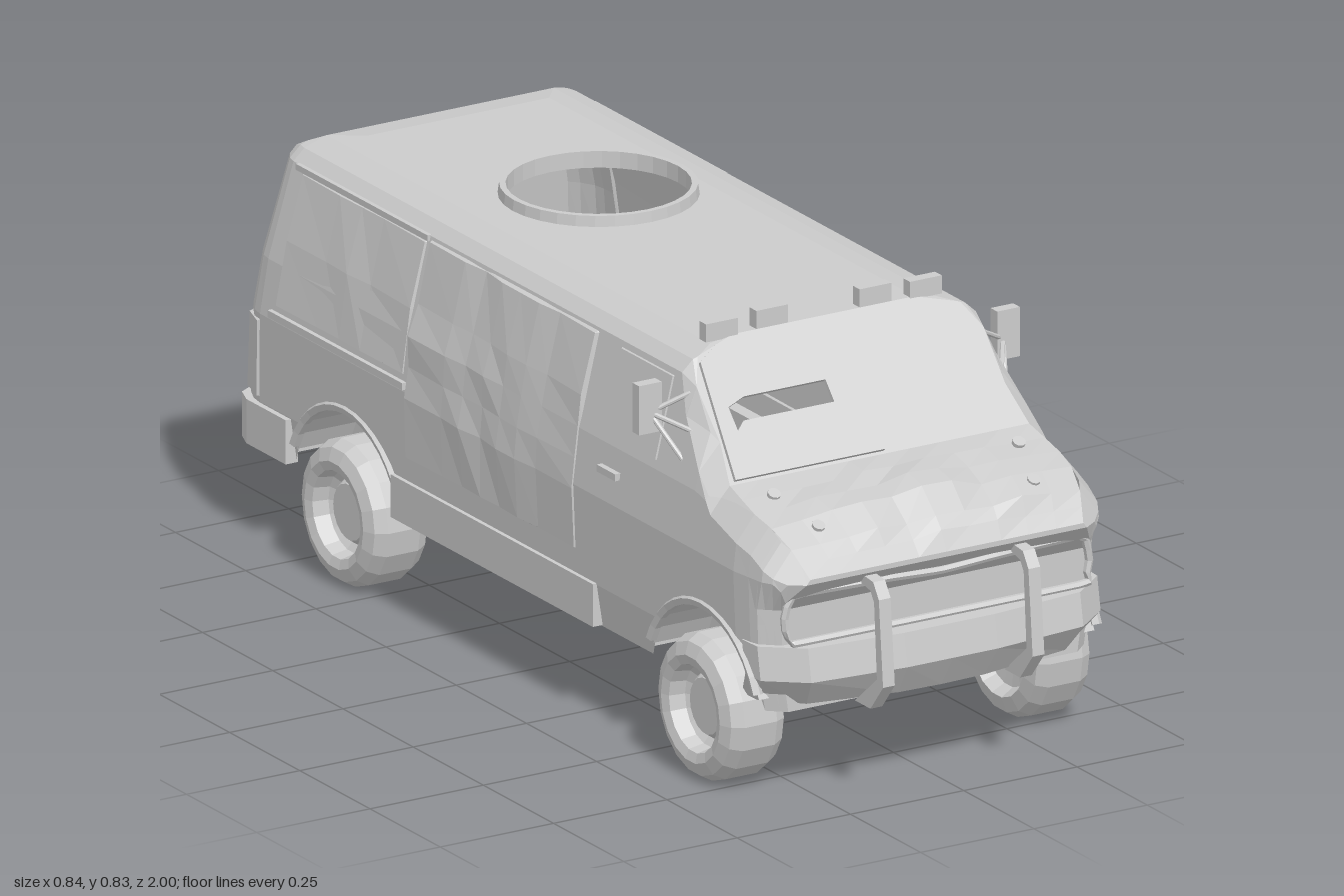
import * as THREE from 'three';

const mat = new THREE.MeshStandardMaterial({ color: 0xcccccc, flatShading: true, side: THREE.DoubleSide });
const SIDES = [1, -1];
const WHEEL_Z = [0.68, -0.59];
const WHEEL_R = 0.143, ARCH_R = 0.2;
const { clamp, mapLinear } = THREE.MathUtils;

// Piecewise-linear lookup in a list of [key, value]
function lerpTable(t, v) {
  if (v <= t[0][0]) return t[0][1];
  for (let i = 1; i < t.length; i++) {
    if (v <= t[i][0]) return mapLinear(v, t[i - 1][0], t[i][0], t[i - 1][1], t[i][1]);
  }
  return t[t.length - 1][1];
}
const noise = (i, j) => { const s = Math.sin(i * 12.99 + j * 78.23) * 43758.5; return s - Math.floor(s) - 0.5; };
const vec2 = pts => pts.map(p => new THREE.Vector2(...p));

// Body rules: half width by height, end taper, roof line, lower edge, sloped ends
const halfWidth = y => lerpTable([[0.17, 0.36], [0.27, 0.376], [0.45, 0.383], [0.56, 0.37], [0.75, 0.324], [0.772, 0.3], [0.788, 0.25], [0.797, 0.2]], y);
const taper = z => lerpTable([[-0.985, 0.9], [-0.95, 0.98], [-0.9, 1], [0.8, 1], [0.88, 0.97], [0.94, 0.88]], z);
const top = z => lerpTable([[-0.985, 0.735], [-0.965, 0.765], [-0.9, 0.788], [-0.8, 0.797], [0.5, 0.797], [0.7, 0.58], [0.85, 0.54], [0.9, 0.51], [0.94, 0.46]], z);
const bottom = z => WHEEL_Z.reduce((b, c) => Math.max(b, WHEEL_R + Math.sqrt(Math.max(0, ARCH_R ** 2 - (z - c) ** 2))), 0.185);
const slope = (z, y) => z + 0.065 * clamp((y - 0.3) / 0.45, 0, 1) * clamp((-z - 0.8) / 0.18, 0, 1)
  - 0.05 * clamp((0.45 - y) / 0.06, 0, 1) * clamp((z - 0.84) / 0.1, 0, 1);
// Rounding of the windshield pillars and fenders
const shoulder = (z, y) => 0.035 * clamp((z - 0.52) / 0.12, 0, 1) * clamp(1 - (top(z) - y) / 0.05, 0, 1);
const sidePoint = (z, y) => [halfWidth(y) * taper(z) - shoulder(z, y), y, slope(z, y)];

// Surface through rows of points
function gridGeometry(rows) {
  const n = rows[0].length, idx = [];
  for (let i = 0; i < rows.length - 1; i++) for (let j = 0; j < n - 1; j++) {
    const a = i * n + j, b = a + n;
    idx.push(a, b, a + 1, b, b + 1, a + 1);
  }
  const g = new THREE.BufferGeometry();
  g.setAttribute('position', new THREE.Float32BufferAttribute(rows.flat(2), 3));
  g.setIndex(idx);
  g.computeVertexNormals();
  return g;
}

export function createModel() {
  const van = new THREE.Group();
  const add = (name, geo, x = 0, y = 0, z = 0) => {
    const m = new THREE.Mesh(geo, mat);
    m.name = name;
    m.position.set(x, y, z);
    van.add(m);
    return m;
  };
  const box = (name, w, h, d, x, y, z) => add(name, new THREE.BoxGeometry(w, h, d), x, y, z);
  const tube = (name, pts, r, closed = false) => add(name, new THREE.TubeGeometry(
    new THREE.CatmullRomCurve3(pts.map(p => new THREE.Vector3(...p)), closed, 'catmullrom', 0.2), pts.length * 5, r, 6, closed));
  const rod = (name, a, b, r) => {
    const p = new THREE.Vector3(...a), q = new THREE.Vector3(...b);
    const m = add(name, new THREE.CylinderGeometry(r, r, p.distanceTo(q), 8));
    m.position.copy(p).lerp(q, 0.5);
    m.quaternion.setFromUnitVectors(new THREE.Vector3(0, 1, 0), q.sub(p).normalize());
  };
  // Plan outline, given for one half and mirrored
  const planShape = half => new THREE.Shape(vec2([...half, ...half.slice().reverse().map(([x, z]) => [-x, z])].map(([x, z]) => [x, -z])));
  const planExtrude = (half, y0, y1, steps = 1) =>
    new THREE.ExtrudeGeometry(planShape(half), { depth: y1 - y0, steps, bevelEnabled: false }).rotateX(-Math.PI / 2).translate(0, y0, 0);

  // Body sides and ends
  const stations = [-0.985, -0.965, -0.93, -0.9, -0.8, -0.2, 0, 0.25, 0.5, 0.52, 0.56, 0.64, 0.7, 0.9, 0.92, 0.94];
  for (const c of WHEEL_Z) for (let k = 0; k <= 10; k++) stations.push(c + ARCH_R * Math.cos(k * Math.PI / 10));
  stations.sort((a, b) => a - b);
  const levels = [0, 0.27, 0.36, 0.39, 0.45, 0.56, 0.66, 0.75, 0.772, 0.788, 1];
  const ring = z => [...levels, top(z) - 0.05].map(l => clamp(l, bottom(z), top(z))).sort((a, b) => a - b).map(y => sidePoint(z, y));
  const flip = (p, s) => [p[0] * s, p[1], p[2]];
  for (const s of SIDES) add('bodySide', gridGeometry(stations.map(z => ring(z).map(p => flip(p, s)))));
  for (const z of [-0.985, 0.94]) add(z < 0 ? 'rearDoors' : 'frontPanel', gridGeometry(ring(z).map(p => [p, flip(p, -1)])));

  // Roof and windshield: plan outlines lifted to the roof line
  const topPanel = (name, z0, z1, hole) => {
    const shape = planShape(stations.filter(z => z >= z0 && z <= z1).map(z => [sidePoint(z, top(z))[0], z]));
    shape.holes.push(hole);
    const g = new THREE.ShapeGeometry(shape, 16).rotateX(-Math.PI / 2);
    const p = g.attributes.position;
    for (let i = 0; i < p.count; i++) p.setY(i, top(p.getZ(i)));
    add(name, g);
  };
  topPanel('roof', -0.8, 0.5, new THREE.Path().absarc(0, 0.3, 0.178, 0, Math.PI * 2, true));
  topPanel('windshield', 0.5, 0.7, new THREE.Path(vec2([[-0.28, -0.58], [-0.045, -0.58], [-0.045, -0.64], [-0.28, -0.64]])));

  // Rear roof edge and dented hood
  const strip = (name, zs, n, crown, dent) => add(name, gridGeometry(zs.map((z, i) => {
    const [w, y, zz] = sidePoint(z, top(z));
    const k = Math.sin(Math.PI * i / (zs.length - 1));
    return Array.from({ length: n + 1 }, (_, j) => {
      const u = j / n * 2 - 1;
      return [w * u, y + (1 - u * u) * k * (crown + dent * noise(i, j)), zz];
    });
  })));
  strip('rearRoofEdge', stations.filter(z => z <= -0.8), 2, 0, 0);
  strip('hood', [0.7, 0.75, 0.8, 0.85, 0.9, 0.92, 0.94], 10, 0.014, 0.024);

  // Armour plate with viewing slit, lying on the windshield
  const plate = new THREE.Shape(vec2([[-0.32, 0.005], [0.01, 0.005], [0.01, 0.278], [-0.25, 0.278], [-0.295, 0.25]]));
  plate.holes.push(new THREE.Path(vec2([[-0.275, 0.1], [-0.255, 0.118], [-0.055, 0.118], [-0.055, 0.165], [-0.235, 0.165], [-0.275, 0.15]])));
  add('windshieldPlate', new THREE.ExtrudeGeometry(plate, { depth: 0.008, bevelEnabled: false }), 0, 0.582, 0.702)
    .rotation.x = -Math.atan2(0.2, 0.217);
  for (const [x, y, z] of [[0.27, 0.572, 0.76], [-0.27, 0.57, 0.76], [0.235, 0.537, 0.87], [-0.24, 0.535, 0.87]])
    add('hoodPin', new THREE.CylinderGeometry(0.013, 0.013, 0.008, 10), x, y, z).rotation.x = 0.5;

  // Roof hatch rim
  add('hatchRim', new THREE.LatheGeometry(vec2([[0.175, 0.785], [0.175, 0.818], [0.187, 0.818], [0.19, 0.795]]), 32), 0, 0, -0.3);

  // Recessed floor and wheel wells
  const floorHalf = [[0.33, -0.96], [0.36, -0.79], [0.25, -0.79], [0.25, -0.39], [0.36, -0.39], [0.36, 0.48], [0.25, 0.48], [0.25, 0.87], [0.3, 0.88]];
  add('floor', planExtrude(floorHalf, 0.2, 0.21));
  box('floorPan', 0.36, 0.035, 0.5, 0, 0.182, -0.16).rotation.x = -0.07;

  for (const s of SIDES) {
    for (const z of WHEEL_Z) {
      // Wheel well, arch flare and wheel
      add('wheelWell', new THREE.CylinderGeometry(ARCH_R, ARCH_R, 0.12, 12, 1, true, 0.35, Math.PI - 0.7).rotateZ(Math.PI / 2), s * 0.31, WHEEL_R, z);
      add('wellWall', new THREE.CircleGeometry(ARCH_R, 14, 0.35, Math.PI - 0.7).rotateY(Math.PI / 2), s * 0.25, WHEEL_R, z);
      add('archFlare', new THREE.TorusGeometry(ARCH_R + 0.005, 0.011, 5, 14, Math.PI - 0.8).rotateZ(0.4).rotateY(Math.PI / 2), s * 0.374, WHEEL_R, z);
      const profile = [[0, 0.035], [0.055, 0.035], [0.066, 0.02], [0.08, 0.03], [0.086, 0.062], [0.105, 0.068], [0.13, 0.058], [WHEEL_R, 0.035],
        [WHEEL_R, -0.035], [0.13, -0.058], [0.1, -0.066], [0.085, -0.04], [0, -0.03]];
      add('wheel', new THREE.LatheGeometry(vec2(profile), 18).rotateZ(-s * Math.PI / 2), s * 0.337, WHEEL_R, z);
    }

    // Dented side panels, their borders sunk into the body
    const sidePanel = (name, z0, z1, y0, y1, nz, ny, lift, dent) => add(name, gridGeometry(Array.from({ length: nz + 1 }, (_, i) =>
      Array.from({ length: ny + 1 }, (_, j) => {
        const edge = i === 0 || j === 0 || i === nz || j === ny;
        const inset = (k, n) => k === 1 ? 0.06 : k === n - 1 ? n - 0.06 : k;
        const [x, y, z] = sidePoint(z0 + (z1 - z0) * inset(i, nz) / nz, y0 + (y1 - y0) * inset(j, ny) / ny);
        return [s * (x + (edge ? -0.004 : lift + dent * noise(i + s * 3, j))), y, z];
      }))));
    sidePanel('slidingDoor', -0.37, 0.23, 0.32, 0.745, 9, 7, 0.006, 0.01);
    sidePanel('rearSidePanel', -0.84, -0.38, 0.48, 0.74, 6, 4, 0.004, 0.007);
    sidePanel('doorWindow', 0.31, 0.5, 0.575, 0.74, 3, 3, 0.003, 0);
    sidePanel('tailLight', -0.962, -0.9, 0.28, 0.44, 3, 3, 0.006, 0);

    // Trim and sill
    box('lowerRail', 0.012, 0.014, 0.48, s * 0.384, 0.463, -0.61);
    box('upperRail', 0.012, 0.012, 0.47, s * 0.325, 0.746, -0.61);
    box('sill', 0.035, 0.085, 0.72, s * 0.367, 0.23, -0.06);
    box('doorHandle', 0.014, 0.014, 0.065, s * 0.38, 0.51, 0.35);

    // Mirror on three struts
    box('mirror', 0.05, 0.098, 0.024, s * 0.395, 0.692, 0.51);
    for (const [x, y, z] of [[0.33, 0.65, 0.6], [0.32, 0.72, 0.55], [0.345, 0.57, 0.6]])
      rod('mirrorStrut', [s * 0.39, 0.68, 0.51], [s * x, y, z], 0.005);

    // Roof lights
    for (const [x, y] of [[0.225, 0.81], [0.114, 0.816]]) {
      box('roofLight', 0.07, 0.036, 0.024, s * x, y, 0.49);
      box('roofLightFoot', 0.02, 0.03, 0.014, s * x, y - 0.02, 0.475);
    }

    // Upright of the bull bar
    const bar = new THREE.Shape(vec2([[0.9, 0.185], [0.955, 0.185], [1, 0.24], [0.985, 0.41], [0.965, 0.44], [0.915, 0.445], [0.915, 0.428], [0.955, 0.42], [0.968, 0.4], [0.978, 0.25]]));
    add('bullBar', new THREE.ExtrudeGeometry(bar, { depth: 0.026, bevelEnabled: false }).rotateY(-Math.PI / 2), s * 0.165 + 0.013, 0, 0);

    // Suspension
    for (const z of [0.6, 0.76]) rod('controlArm', [s * 0.28, 0.125, 0.68], [s * 0.1, 0.185, z], 0.016);
    rod('wheelHub', [s * 0.25, WHEEL_R, 0.68], [s * 0.31, WHEEL_R, 0.68], 0.03);
    box('springMount', 0.035, 0.1, 0.06, s * 0.19, 0.15, 0.62);
    tube('leafSpring', [[s * 0.22, 0.19, -0.33], [s * 0.22, 0.14, -0.46], [s * 0.22, 0.12, -0.59], [s * 0.22, 0.14, -0.72], [s * 0.22, 0.19, -0.86]], 0.013);
  }

  // Bumpers: the front one is creased at mid height and tucked in below
  const frontBumper = planExtrude([[0, 0.95], [0.1, 0.95], [0.3, 0.93], [0.375, 0.87], [0.378, 0.82], [0.35, 0.82], [0.3, 0.87], [0, 0.87]], 0.19, 0.32, 2);
  const fp = frontBumper.attributes.position;
  for (let i = 0; i < fp.count; i++) {
    const x = fp.getX(i), y = fp.getY(i);
    if (y < 0.2) fp.setXYZ(i, x * 0.95, y + 0.05 * Math.abs(x) ** 1.5, fp.getZ(i) - 0.03);
    else if (y < 0.3) fp.setZ(i, fp.getZ(i) + 0.012);
  }
  add('frontBumper', frontBumper);
  add('rearBumper', planExtrude([[0, -1], [0.32, -1], [0.372, -0.97], [0.387, -0.93], [0.387, -0.79], [0.36, -0.79], [0.355, -0.93], [0, -0.95]], 0.18, 0.268));

  // Grille frame wrapping the front corners
  const half = [[0.31, 0.325], [0.328, 0.335], [0.337, 0.37], [0.328, 0.41], [0.31, 0.424], [0.12, 0.424]];
  const frame = [...half, [0, 0.418], ...half.slice().reverse().map(([x, y]) => [-x, y])];
  tube('grilleFrame', frame.map(([x, y]) => [x, y, 0.92 - 0.2 * Math.max(0, Math.abs(x) - 0.25)]), 0.008, true);

  // Rear axle, drive shaft and exhaust
  rod('axle', [-0.29, WHEEL_R, -0.59], [0.29, WHEEL_R, -0.59], 0.02);
  add('differential', new THREE.SphereGeometry(0.055, 8, 6).scale(1.55, 0.85, 1.2), 0, 0.147, -0.59);
  rod('driveShaft', [0, 0.15, -0.59], [0, 0.185, 0.45], 0.016);
  tube('exhaust', [[0.1, 0.185, 0.4], [0.1, 0.17, -0.4], [0.13, 0.165, -0.75], [0.28, 0.165, -0.88]], 0.013);
  return van;
}
